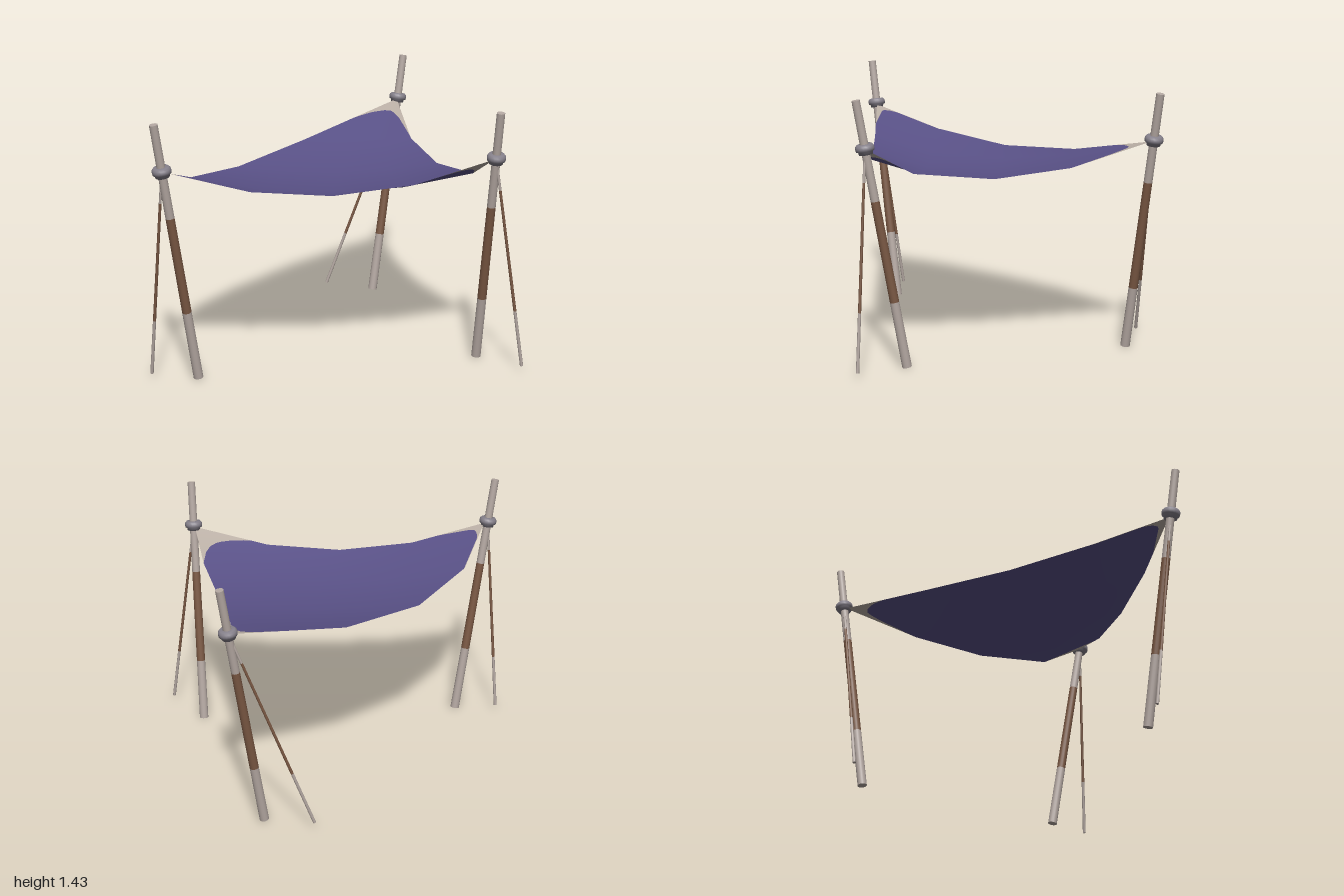
import * as THREE from 'three';

const mat = (name, color, side = THREE.FrontSide) => {
  const m = new THREE.MeshStandardMaterial({ color, side });
  m.name = name;
  return m;
};
const wood = mat('paleWood', 0xb3a7a1);
const brown = mat('brownWrap', 0x7a5843);
const grey = mat('collarGrey', 0x85808a);
const purple = mat('purpleCloth', 0x5a5288, THREE.DoubleSide);
const beige = mat('beigeCloth', 0xbbb0a6, THREE.DoubleSide);

const V = (a) => new THREE.Vector3(...a);
const UP = new THREE.Vector3(0, 1, 0);

// Tapered rod from a to b, split into pale / brown / pale lengths
function rod(name, a, b, r0, r1, cuts, sides) {
  const g = new THREE.Group();
  g.name = name;
  const dir = b.clone().sub(a), len = dir.length();
  const stops = [0, ...cuts, 1];
  for (let i = 0; i < 3; i++) {
    const [s, e] = [stops[i], stops[i + 1]];
    const rad = (t) => r0 + (r1 - r0) * t;
    const geo = new THREE.CylinderGeometry(rad(e), rad(s), (e - s) * len, sides, 1, i === 1);
    geo.translate(0, ((s + e) / 2) * len, 0);
    const m = new THREE.Mesh(geo, i === 1 ? brown : wood);
    m.name = ['lowerEnd', 'wrappedMiddle', 'upperEnd'][i];
    g.add(m);
  }
  g.position.copy(a);
  g.quaternion.setFromUnitVectors(UP, dir.normalize());
  return g;
}

// Flanged ring around each pole
const collarProfile = [
  [0.02, -0.028], [0.037, -0.028], [0.039, -0.013], [0.049, -0.009],
  [0.051, 0.004], [0.049, 0.016], [0.04, 0.026], [0.02, 0.026],
].map((p) => new THREE.Vector2(...p));

const supports = [
  { name: 'frontRight', foot: [-0.745, 0.005, 0.7], top: [-0.935, 1.43, 0.865], stake: [-0.992, 0.03, 0.695], cuts: [0.27, 0.645] },
  { name: 'frontLeft', foot: [0.775, 0.005, 0.45], top: [0.84, 1.43, 0.69], stake: [0.992, 0.03, 0.68], cuts: [0.25, 0.63] },
  { name: 'back', foot: [0.283, 0.005, -0.7], top: [0.47, 1.43, -0.865], stake: [0.003, 0.03, -0.76], cuts: [0.24, 0.66] },
];

// Cloth rows from the front edge to the back corner: right end, left end, sag
const rows = [
  [[-0.88, 1.17, 0.83], [0.82, 1.17, 0.64], 0.16],
  [[-0.77, 1.04, 0.44], [0.74, 1.035, 0.41], 0.097],
  [[-0.52, 0.985, 0.02], [0.59, 0.985, 0], 0.04],
  [[-0.14, 1.03, -0.4], [0.48, 1.03, -0.4], 0.005],
  [[0.43, 1.17, -0.825], [0.43, 1.17, -0.825], 0],
];

// Borders (x, z) of the corner patches, with cloth corner
const patches = [
  { c: [-0.88, 0.83], pts: [[-0.6, 0.8], [-0.8, 0.79], [-0.835, 0.775], [-0.845, 0.72], [-0.82, 0.63]] },
  { c: [0.43, -0.83], pts: [[0.11, -0.59], [0.2, -0.655], [0.33, -0.705], [0.385, -0.7], [0.42, -0.65], [0.47, -0.45]] },
  { c: [0.82, 0.64], pts: [[0.74, 0.42], [0.735, 0.5], [0.7, 0.57], [0.58, 0.64], [0.51, 0.67]] },
];

// Positive in the purple field, negative in a corner patch
function field(x, z) {
  let f = 1;
  for (const { c, pts } of patches) {
    let inside = 1;
    for (let i = 0; i + 1 < pts.length; i++) {
      const [ax, az] = pts[i], dx = pts[i + 1][0] - ax, dz = pts[i + 1][1] - az;
      inside = Math.min(inside, (dx * (z - az) - dz * (x - ax)) / Math.hypot(dx, dz));
    }
    f = Math.min(f, Math.max(inside, Math.hypot(x - c[0], z - c[1]) - 0.5));
  }
  return f;
}

function cloth() {
  const N = 4, SUB = 6;
  // Coarse sagging grid with smooth normals
  const pos = [], idx = [];
  rows.forEach(([a, b, sag], j) => {
    for (let i = 0; i <= N; i++) {
      const u = i / N, p = V(a).lerp(V(b), u);
      pos.push(p.x, p.y - sag * 4 * u * (1 - u), p.z);
      if (i < N && j < N) {
        const k = j * 5 + i;
        idx.push(k, k + 1, k + 6, k, k + 6, k + 5);
      }
    }
  });
  const base = new THREE.BufferGeometry();
  base.setAttribute('position', new THREE.Float32BufferAttribute(pos, 3));
  base.setIndex(idx);
  base.computeVertexNormals();
  const nor = base.attributes.normal.array;
  const vert = (i, j) => {
    const k = (j * 5 + i) * 3, n = (Math.min(j, 3) * 5 + i) * 3;
    return [...pos.slice(k, k + 3), ...nor.slice(n, n + 3)];
  };
  const mix = (a, b, t) => a.map((v, k) => v + (b[k] - v) * t);
  const point = (s, t) => {
    const i = Math.min(Math.floor(s), N - 1), j = Math.min(Math.floor(t), N - 1);
    return mix(mix(vert(i, j), vert(i + 1, j), s - i), mix(vert(i, j + 1), vert(i + 1, j + 1), s - i), t - j);
  };

  // Fine triangles, cut along the patch borders
  const out = [[], []];
  const clip = (tri, sign, list) => {
    const poly = [];
    tri.forEach((p, i) => {
      const q = tri[(i + 1) % 3];
      const fp = sign * field(p[0], p[2]), fq = sign * field(q[0], q[2]);
      if (fp >= 0) poly.push(p);
      if (fp * fq < 0) poly.push(mix(p, q, fp / (fp - fq)));
    });
    for (let i = 1; i + 1 < poly.length; i++) list.push(poly[0], poly[i], poly[i + 1]);
  };
  const M = N * SUB;
  for (let j = 0; j < M; j++) for (let i = 0; i < M; i++) {
    const [a, b, c, d] = [[i, j], [i + 1, j], [i + 1, j + 1], [i, j + 1]].map(([s, t]) => point(s / SUB, t / SUB));
    for (const tri of [[a, b, c], [a, c, d]]) {
      clip(tri, 1, out[0]);
      clip(tri, -1, out[1]);
    }
  }
  const g = new THREE.Group();
  g.name = 'canopy';
  out.forEach((list, k) => {
    const geo = new THREE.BufferGeometry();
    geo.setAttribute('position', new THREE.Float32BufferAttribute(list.flatMap((p) => p.slice(0, 3)), 3));
    geo.setAttribute('normal', new THREE.Float32BufferAttribute(list.flatMap((p) => p.slice(3)), 3));
    geo.normalizeNormals();
    const m = new THREE.Mesh(geo, k ? beige : purple);
    m.name = k ? 'cornerPatches' : 'canopyField';
    g.add(m);
  });
  return g;
}

export function createModel() {
  const model = new THREE.Group();
  model.name = 'shadeSail';
  for (const s of supports) {
    const foot = V(s.foot), top = V(s.top);
    model.add(rod(s.name + 'Pole', foot, top, 0.026, 0.022, s.cuts, 16));

    const knot = foot.clone().lerp(top, 0.823);
    const collar = new THREE.Mesh(new THREE.LatheGeometry(collarProfile, 20), grey);
    collar.name = s.name + 'Collar';
    collar.position.copy(knot);
    collar.quaternion.setFromUnitVectors(UP, top.clone().sub(foot).normalize());
    model.add(collar);

    // Thin brace from the collar down to the ground
    model.add(rod(s.name + 'Brace', V(s.stake), knot, 0.009, 0.007, [0.27, 0.85], 8));
  }
  model.add(cloth());
  return model;
}
